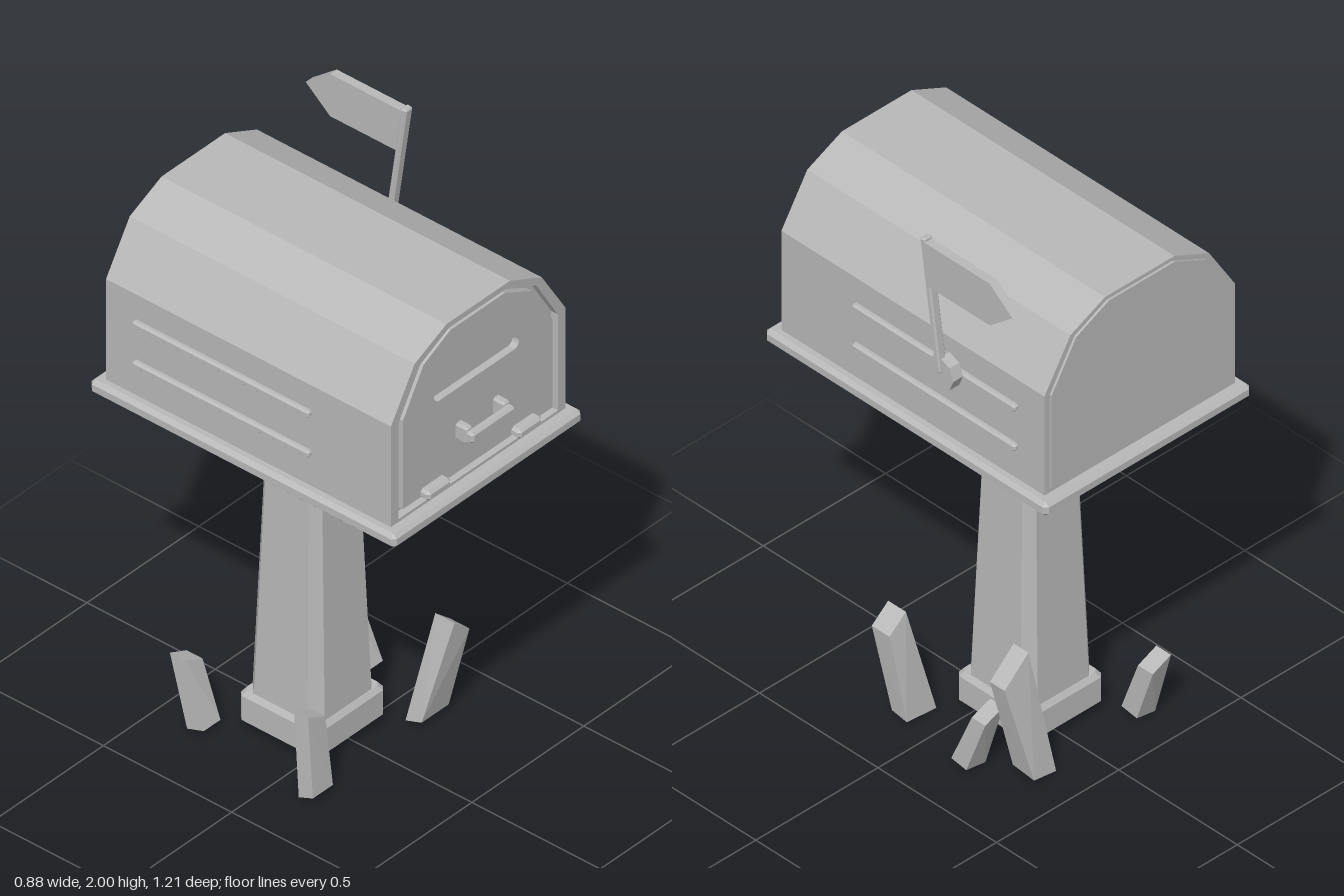
import * as THREE from 'three';
import { ConvexGeometry } from 'three/addons/geometries/ConvexGeometry.js';

const CX = -0.02; // centre line of box and post
const PZ = -0.105; // post centre in z

export function createModel() {
  const model = new THREE.Group();
  model.name = 'mailbox';
  const grey = new THREE.MeshStandardMaterial({ color: 0xb8b8b8 });
  grey.name = 'plain grey';

  const add = (name, geometry, x = 0, y = 0, z = 0) => {
    const mesh = new THREE.Mesh(geometry, grey);
    mesh.name = name;
    mesh.position.set(x, y, z);
    model.add(mesh);
    return mesh;
  };
  const hull = (pts) => new ConvexGeometry(pts.map((p) => new THREE.Vector3(...p)));

  // Box with all edges chamfered by c
  const chamferBox = (w, h, d, c) => {
    const pts = [];
    for (const sx of [-1, 1]) for (const sy of [-1, 1]) for (const sz of [-1, 1]) {
      const [x, y, z] = [w / 2, h / 2, d / 2];
      pts.push([sx * x, sy * (y - c), sz * (z - c)]);
      pts.push([sx * (x - c), sy * y, sz * (z - c)]);
      pts.push([sx * (x - c), sy * (y - c), sz * z]);
    }
    return hull(pts);
  };

  // Arched outline of the box, inset by d
  const arch = (d, bottom = 1.25 + d) => {
    const half = [
      [0.39 - d, bottom], [0.39 - d, 1.622 - 0.2 * d],
      [0.284 - 0.75 * d, 1.792 - 0.5 * d], [0.142 - 0.35 * d, 1.858 - 0.6 * d],
    ];
    const left = half.map(([x, y]) => [-x, y]).reverse();
    return [...half, ...left].map(([x, y]) => new THREE.Vector2(CX + x, y));
  };
  const slab = (outline, z0, z1, holes = []) => {
    const shape = new THREE.Shape(outline);
    holes.forEach((h) => shape.holes.push(new THREE.Path(h)));
    return new THREE.ExtrudeGeometry(shape, { depth: z1 - z0, bevelEnabled: false }).translate(0, 0, z0);
  };

  // Box body, front rim, door with slot, back panel
  add('boxBody', slab(arch(0, 1.24), -0.568, 0.515));
  add('frontRim', slab(arch(0, 1.24), 0.515, 0.542, [arch(0.033, 1.265)]));
  const slot = [];
  for (let i = 0; i < 16; i++) {
    const a = ((i + 0.5) / 16) * Math.PI * 2;
    slot.push(new THREE.Vector2(CX - 0.005 + Math.sign(Math.cos(a)) * 0.167 + 0.023 * Math.cos(a), 1.617 + 0.023 * Math.sin(a)));
  }
  add('door', slab(arch(0.056, 1.288), 0.51, 0.54, [slot]));
  add('backPanel', slab(arch(0.022), -0.576, -0.56));

  // Door handle and hinges
  add('handleBar', chamferBox(0.195, 0.038, 0.03, 0.008), CX, 1.44, 0.59);
  for (const s of [-1, 1]) {
    add('handlePost', chamferBox(0.03, 0.06, 0.05, 0.007), CX + s * 0.083, 1.44, 0.558);
    add('hinge', chamferBox(0.106, 0.034, 0.045, 0.01), CX + s * 0.203, 1.3, 0.55);
  }

  // Pressed ribs on both sides
  for (const s of [-1, 1]) for (const y of [1.519, 1.373])
    add('sideRib', chamferBox(0.04, 0.026, 0.69, 0.007), CX + s * 0.386, y, -0.112);

  // Floor plate under the box
  add('floorPlate', chamferBox(0.845, 0.05, 1.19, 0.013), CX, 1.23, -0.012);

  // Signal flag: axle, knob, pole and pointed plate
  const flat = (r, len, sides) => new THREE.CylinderGeometry(r, r, len, sides).toNonIndexed();
  const knob = flat(0.058, 0.04, 8);
  knob.computeVertexNormals();
  add('flagKnob', knob, 0.41, 1.53, -0.188).rotation.z = Math.PI / 2;
  add('flagAxle', new THREE.BoxGeometry(0.04, 0.04, 0.04), 0.38, 1.53, -0.188);
  const pole = add('flagPole', chamferBox(0.032, 0.47, 0.022, 0.005), 0.424, 1.768, -0.156);
  pole.rotation.x = 0.143;
  const flagSide = [[-0.13, 1.99], [-0.41, 1.99], [-0.505, 1.915], [-0.41, 1.836], [-0.15, 1.836]];
  add('flagPlate', hull(flagSide.flatMap(([z, y]) => [[0.41, y, z], [0.44, y, z]])));

  // Tapered post with cut corners, with cap and foot
  const ring = (r, c, y) => [-1, 1].flatMap((sx) => [-1, 1].flatMap((sz) => [
    [CX + sx * r, y, PZ + sz * (r - c)], [CX + sx * (r - c), y, PZ + sz * r],
  ]));
  add('post', hull([...ring(0.142, 0.036, 0.1), ...ring(0.105, 0.027, 1.16)]));
  add('postCap', hull([...ring(0.142, 0.02, 1.143), ...ring(0.152, 0.02, 1.155), ...ring(0.152, 0.02, 1.21)]));
  add('postFoot', hull([
    ...ring(0.145, 0.015, 0.027), ...ring(0.155, 0.015, 0.037),
    ...ring(0.155, 0.015, 0.125), ...ring(0.143, 0.015, 0.142),
  ]));

  // Diagonal braces
  const brace = (name, side) =>
    add(name, hull(side.flatMap(([z, y]) => [[CX - 0.035, y, z], [CX + 0.035, y, z]])));
  brace('frontBrace', [[0.383, 1.18], [0.36, 1.208], [0.328, 1.208], [-0.03, 0.942], [-0.03, 0.875]]);
  brace('backBrace', [[-0.385, 1.208], [-0.41, 1.2], [-0.432, 1.173], [-0.19, 0.933], [-0.19, 1.017]]);

  // Loose leaning stakes: bottom and top [x0, x1, z0, z1], top heights at x0 and x1
  const stakes = [
    [[0.135, 0.225, -0.375, -0.285], [0.195, 0.292, -0.32, -0.258], 0.44, 0.35],
    [[0.177, 0.298, 0.087, 0.15], [0.255, 0.322, 0.135, 0.21], 0.372, 0.315],
    [[-0.315, -0.225, 0.1, 0.155], [-0.304, -0.228, 0.072, 0.127], 0.297, 0.26],
    [[0.255, 0.333, -0.2, -0.137], [0.25, 0.325, -0.272, -0.215], 0.242, 0.212],
    [[-0.275, -0.2, -0.37, -0.305], [-0.275, -0.2, -0.437, -0.375], 0.245, 0.212],
  ];
  for (const [b, t, h0, h1] of stakes) {
    const pts = [];
    for (const i of [0, 1]) for (const k of [2, 3]) {
      pts.push([b[i], k === 2 ? 0.012 : 0.022, b[k]]);
      pts.push([t[i], i ? h1 : h0, t[k]]);
    }
    pts[0][1] = 0;
    add('stake', hull(pts));
  }
  return model;
}
